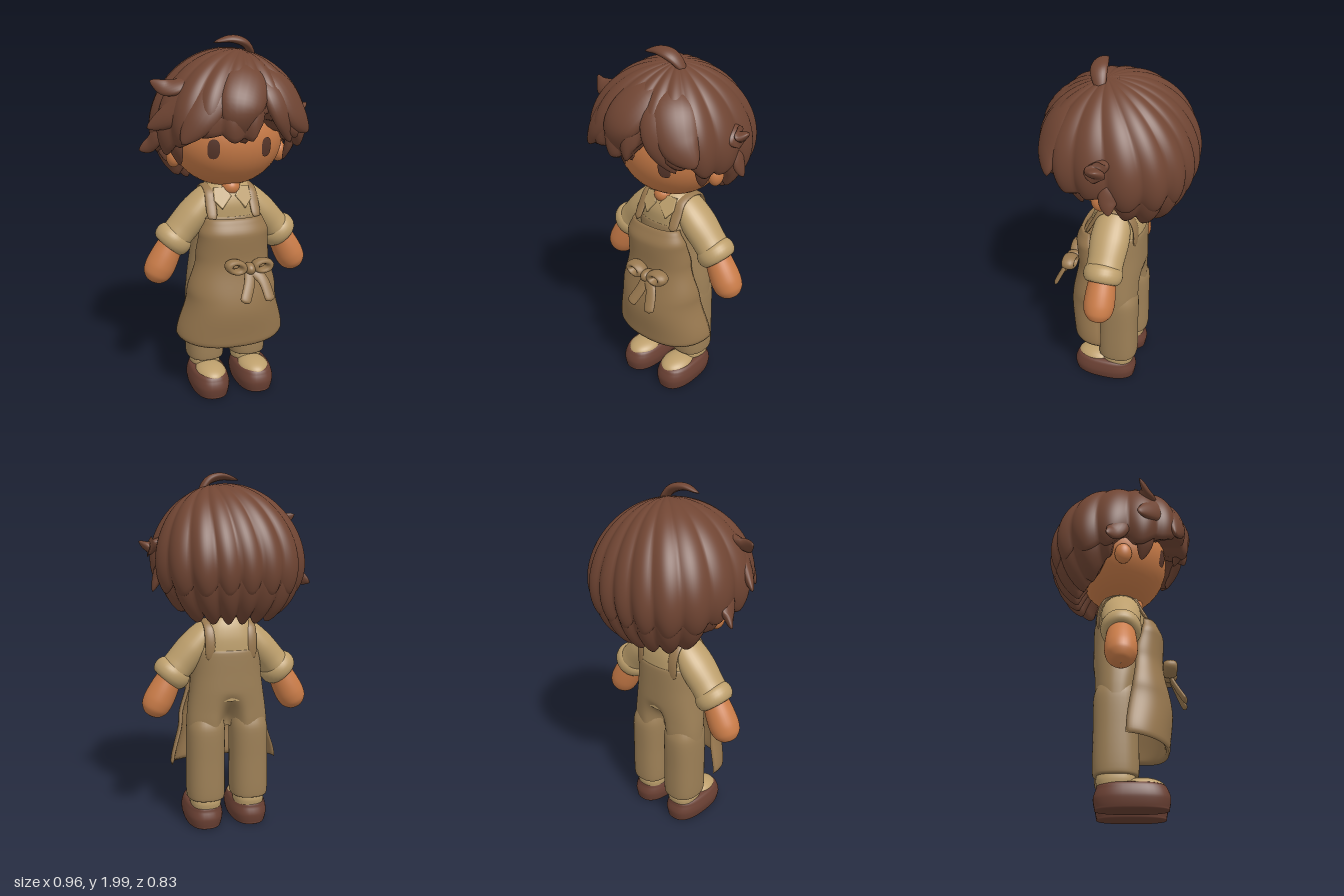
import * as THREE from 'three';
import { mergeVertices } from 'three/addons/utils/BufferGeometryUtils.js';

const mat = (name, color) => Object.assign(new THREE.MeshStandardMaterial({ color }), { name });
const V = (x, y, z) => new THREE.Vector3(x, y, z);
const spow = (c, e) => Math.sign(c) * Math.pow(Math.abs(c), e);
const TAU = Math.PI * 2;

// Smooth surface from fn(u, v) -> Vector3; seams are welded and faces turned outward.
function grid(fn, nu, nv) {
  const pos = [], idx = [];
  for (let j = 0; j <= nv; j++)
    for (let i = 0; i <= nu; i++) pos.push(...fn(i / nu, j / nv).toArray());
  for (let j = 0; j < nv; j++)
    for (let i = 0; i < nu; i++) {
      const a = j * (nu + 1) + i, b = a + 1, c = a + nu + 1, d = c + 1;
      idx.push(a, b, d, a, d, c);
    }
  const p = (i) => V(pos[3 * i], pos[3 * i + 1], pos[3 * i + 2]);
  let vol = 0;
  for (let k = 0; k < idx.length; k += 3) vol += p(idx[k]).dot(p(idx[k + 1]).cross(p(idx[k + 2])));
  if (vol < 0) idx.reverse();
  let g = new THREE.BufferGeometry();
  g.setAttribute('position', new THREE.Float32BufferAttribute(pos, 3));
  g.setIndex(idx);
  g = mergeVertices(g, 1e-4);
  g.computeVertexNormals();
  return g;
}

// Rounded rings stacked upward; rows are [y, rx, rz, cx, cz].
function loft(rows, n = 2.4, nu = 36) {
  const curve = (f) => new THREE.CatmullRomCurve3(rows.map(f), false, 'catmullrom', 0.4);
  const size = curve((r) => V(r[0], r[1], r[2])), mid = curve((r) => V(r[3] || 0, r[4] || 0, 0));
  return grid((u, v) => {
    const s = size.getPoint(v), m = mid.getPoint(v), a = u * TAU;
    return V(m.x + s.y * spow(Math.cos(a), 2 / n), s.x, m.y + s.z * spow(Math.sin(a), 2 / n));
  }, nu, (rows.length - 1) * 5);
}

// Flat oval section swept along a path, its flat side facing away from a centre.
const taper = (s) => Math.pow(Math.max(0, Math.sin(Math.PI * Math.pow(s, 0.8))), 0.65);
const even = (s) => Math.sqrt(Math.max(0, 1 - Math.pow(Math.abs(2 * s - 1), 16)));
function sweep(points, w, t, centre, profile) {
  const curve = new THREE.CatmullRomCurve3(points.map((p) => V(...p)));
  return grid((u, v) => {
    const p = curve.getPoint(v), tan = curve.getTangent(v);
    const out = p.clone().sub(centre);
    out.addScaledVector(tan, -out.dot(tan)).normalize();
    const side = tan.clone().cross(out), r = profile(v), a = u * TAU;
    return p.addScaledVector(side, Math.cos(a) * w * r).addScaledVector(out, Math.sin(a) * t * r);
  }, 20, 28);
}

// Eased lookup in a list of [key, value] pairs with rising keys.
function look(table, k) {
  let i = 0;
  while (i < table.length - 2 && k > table[i + 1][0]) i++;
  const [a, va] = table[i], [b, vb] = table[i + 1];
  const s = Math.min(1, Math.max(0, (k - a) / (b - a)));
  return va + (vb - va) * s * s * (3 - 2 * s);
}

const HAIR = V(0, 1.52, 0);
// Hair shell from an off-centre crown to an edge given by azimuth (0 = front, + = left), folded in to
// the head. It is squarish from above and the rear hangs lower than the front.
function hairShell(edge, scale, ridge) {
  return grid((u, v) => {
    const th = (u * 2 - 1) * Math.PI, deg = th * 180 / Math.PI;
    const t = Math.min(1, v / 0.88), fold = Math.max(0, (v - 0.88) / 0.12);
    const back = (1 - Math.cos(th)) / 2;
    const lump = Math.abs(Math.sin(9 * (th - 0.28) + 0.9 * Math.sin(2 * th) + 0.7 * (1 - t)));
    const max = look(edge, deg) + (lump - 0.6) * (3 + 5 * back);
    const phi = (max * t - 6 * fold) * Math.PI / 180;
    const sp = Math.sin(phi), cp = Math.cos(phi), crown = Math.max(0, cp) ** 2;
    let r = scale * (1 + ridge * (lump - 0.6) * t) * (1 - 0.07 * Math.pow(t, 8));
    r *= 1 + 0.07 * (Math.sin(2 * th) * sp) ** 2;
    r += (0.6 - r) * fold;
    const d = V(Math.sin(th) * sp + 0.17 * crown, cp, Math.cos(th) * sp + 0.12 * crown).normalize();
    return V(d.x * 0.415 * r, 1.52 + d.y * 0.41 * r - 0.052 * back * (cp < 0 ? 1 : sp * sp), d.z * 0.41 * r);
  }, 216, 44);
}

export function createModel() {
  const model = new THREE.Group();
  model.name = 'figure';
  const skin = mat('skin', 0xca7c48), hair = mat('hair brown', 0x704533), shoe = mat('shoe brown', 0x6a4033);
  const shirt = mat('shirt cream', 0xbd9f6c), apron = mat('apron tan', 0x98784f);
  const trousers = mat('trouser tan', 0x9c7f56), eyeMat = mat('eye brown', 0x5a382c);
  const add = (name, geo, m, parent = model) => {
    const mesh = new THREE.Mesh(geo, m);
    mesh.name = name;
    parent.add(mesh);
    return mesh;
  };
  const ball = (name, m, [x, y, z], [rx, ry, rz], parent) => {
    const b = add(name, new THREE.SphereGeometry(1, 40, 28), m, parent);
    b.position.set(x, y, z);
    b.scale.set(rx, ry, rz);
  };

  // Head, neck and eyes
  ball('head', skin, [0, 1.46, 0.01], [0.31, 0.27, 0.262]);
  ball('neck', skin, [0, 1.19, 0.07], [0.055, 0.052, 0.065]);
  for (const s of [-1, 1]) {
    ball('ear', skin, [s * 0.302, 1.365, 0.02], [0.04, 0.06, 0.047]);
    add('eye', grid((u, v) => {
      const x = s * 0.144 + 0.03 * v * spow(Math.cos(u * TAU), 0.8);
      const y = 1.426 + 0.052 * v * spow(Math.sin(u * TAU), 0.8);
      return V(x, y, 0.015 + 0.262 * Math.sqrt(1 - (x / 0.31) ** 2 - ((y - 1.46) / 0.27) ** 2));
    }, 28, 4), eyeMat);
  }

  // Hair: upper layer with the fringe, lower layer at the nape
  add('upperHair', hairShell([[-180, 104], [-125, 106], [-105, 108], [-88, 100], [-75, 106], [-60, 102], [-45, 96],
    [-28, 91], [-10, 96], [2, 96], [10, 86], [16, 76], [23, 82], [35, 92], [50, 97], [65, 103], [75, 106],
    [88, 100], [105, 108], [125, 106], [180, 104]], 1, 0.06), hair);
  add('napeHair', hairShell([[-180, 136], [-130, 134], [-110, 126], [-100, 116], [-88, 70], [88, 70], [100, 116],
    [110, 126], [130, 134], [180, 136]], 0.945, 0.07), hair);
  const locks = [
    [0.045, [0.14, 1.87, 0.06], [0.075, 1.95, 0.09], [0, 1.972, 0.1], [-0.1, 1.955, 0.1]],
    [0.125, [0.08, 1.85, 0.12], [0.02, 1.76, 0.27], [-0.04, 1.62, 0.365], [0, 1.46, 0.32]],
    [0.11, [0.04, 1.85, 0.12], [-0.13, 1.74, 0.25], [-0.23, 1.6, 0.31], [-0.33, 1.47, 0.31]],
    [0.09, [0, 1.84, 0.1], [-0.22, 1.71, 0.22], [-0.34, 1.61, 0.18], [-0.46, 1.53, 0.1]],
    [0.055, [-0.08, 1.82, 0.14], [-0.27, 1.75, 0.16], [-0.36, 1.735, 0.15], [-0.44, 1.77, 0.11]],
    [0.06, [-0.29, 1.62, 0], [-0.37, 1.5, 0], [-0.41, 1.43, -0.03], [-0.47, 1.39, -0.07]],
    [0.12, [0.1, 1.85, 0.1], [0.2, 1.74, 0.23], [0.28, 1.6, 0.28], [0.37, 1.5, 0.27]],
    [0.085, [0.1, 1.83, 0.15], [0.15, 1.72, 0.29], [0.19, 1.6, 0.335], [0.26, 1.45, 0.29]],
    [0.07, [0.26, 1.66, 0.02], [0.36, 1.61, 0.01], [0.42, 1.595, 0], [0.48, 1.625, 0]],
    [0.055, [0.25, 1.6, -0.06], [0.36, 1.5, -0.06], [0.395, 1.42, -0.05], [0.42, 1.36, -0.06]],
  ];
  for (const s of [-1, 1]) locks.push([0.055, [s * 0.31, 1.56, 0.12], [s * 0.32, 1.45, 0.14], [s * 0.29, 1.33, 0.12]]);
  for (const [w, ...pts] of locks) add('hairLock', sweep(pts, w, w * 0.5, HAIR, taper), hair);

  // Shirt body and collar
  add('shirtBody', loft([[0.75, 0.19, 0.135], [1, 0.188, 0.14], [1.1, 0.175, 0.14, 0, 0.003],
    [1.17, 0.145, 0.12], [1.22, 0.085, 0.08, 0, -0.01], [1.235, 0.001, 0.001, 0, -0.01]]), shirt);
  const band = add('neckBand', new THREE.TorusGeometry(0.075, 0.02, 12, 36), shirt);
  band.rotation.x = Math.PI / 2;
  band.position.set(0, 1.203, 0.005);
  for (const s of [-1, 1]) {
    const wing = new THREE.Shape([[0.015, 0.06], [0.065, 0], [0.1, 0.045], [0.095, 0.11], [0.045, 0.11]]
      .map(([x, y]) => new THREE.Vector2(x * s, y)));
    const c = add('collarWing', new THREE.ExtrudeGeometry(wing,
      { depth: 0.012, bevelSize: 0.006, bevelThickness: 0.006, bevelSegments: 3 }), shirt);
    c.position.set(0, 1.09, 0.147);
    c.rotation.set(-0.45, s * 0.2, 0);
  }

  // Arms: sleeve, rolled cuff and mitten hand along one slanted axis
  for (const s of [-1, 1]) {
    const arm = new THREE.Group();
    arm.name = s > 0 ? 'leftArm' : 'rightArm';
    arm.position.set(s * 0.31, 0.9, 0.008);
    arm.rotation.z = s * 0.707;
    model.add(arm);
    add('sleeve', loft([[-0.02, 0.001, 0.001], [-0.015, 0.08, 0.09], [0.08, 0.088, 0.1], [0.18, 0.088, 0.108],
      [0.27, 0.076, 0.1], [0.34, 0.054, 0.075], [0.375, 0.001, 0.001]], 2), shirt, arm);
    const cuff = add('cuff', new THREE.TorusGeometry(0.074, 0.034, 16, 40), shirt, arm);
    cuff.rotation.x = Math.PI / 2;
    cuff.scale.z = 1.5;
    const hand = add('hand', loft([[-0.272, 0.001, 0.001], [-0.258, 0.045, 0.045], [-0.222, 0.075, 0.075],
      [-0.17, 0.084, 0.085], [-0.1, 0.08, 0.082], [0, 0.066, 0.07]], 2), skin, arm);
    hand.rotation.z = -s * 0.23;
  }

  // Trousers: seat with high back, pinched between the legs towards its lower end
  const seat = loft([[0.58, 0.233, 0.12, 0, -0.018], [0.64, 0.23, 0.126, 0, -0.015], [0.7, 0.224, 0.132, 0, -0.01],
    [0.8, 0.21, 0.142, 0, -0.004], [0.9, 0.198, 0.146], [1.02, 0.19, 0.145], [1.04, 0.178, 0.132]], 2.4, 96);
  const sp = seat.attributes.position;
  for (let i = 0; i < sp.count; i++) {
    const pinch = THREE.MathUtils.smoothstep(0.8 - sp.getY(i), 0, 0.2) * Math.exp(-((sp.getX(i) / 0.05) ** 2));
    sp.setZ(i, -0.015 + (sp.getZ(i) + 0.015) * (1 - pinch));
  }
  seat.computeVertexNormals();
  add('trouserSeat', seat, trousers);

  // Legs, shoulder straps and shoes
  for (const s of [-1, 1]) {
    const x = s * 0.128;
    add('trouserLeg', loft([[0.168, 0.001, 0.001, x, -0.02], [0.17, 0.09, 0.1, x, -0.02], [0.195, 0.108, 0.118, x, -0.02],
      [0.4, 0.108, 0.118, x, -0.02], [0.58, 0.107, 0.12, x * 0.98, -0.018], [0.66, 0.09, 0.1, x * 0.94, -0.012]]), trousers);
    add('strap', sweep([[0.125, 1.02, 0.165], [0.124, 1.1, 0.122], [0.12, 1.168, 0.08], [0.118, 1.192, 0],
      [0.118, 1.168, -0.08], [0.118, 1.1, -0.114], [0.118, 0.97, -0.117]].map(([a, b, c]) => [a * s, b, c]),
      0.029, 0.01, V(0.1 * s, 1.06, 0), even), apron);
    const f = s * 0.133;
    add('shoe', loft([[0, 0.001, 0.001, f, 0.06], [0.001, 0.088, 0.17, f, 0.06], [0.015, 0.103, 0.185, f, 0.06],
      [0.06, 0.111, 0.192, f, 0.06], [0.1, 0.104, 0.18, f, 0.06], [0.13, 0.085, 0.155, f, 0.055],
      [0.14, 0.001, 0.001, f, 0.05]], 2.5), shoe);
    ball('shoeTongue', shirt, [s * 0.13, 0.112, 0.11], [0.088, 0.054, 0.12]);
    add('ankle', loft([[0.12, 0.085, 0.095, x, -0.02], [0.15, 0.088, 0.1, x, -0.02], [0.19, 0.085, 0.095, x, -0.02]]), shirt);
  }

  // Apron: curved panel with thickness, widening to the hem
  const halfWidth = [[0, 0.166], [0.13, 0.2], [0.32, 0.212], [0.62, 0.26], [1, 0.317]];
  const frontZ = [[0, 0.215], [0.13, 0.245], [0.32, 0.238], [0.72, 0.282], [1, 0.264]];
  const backZ = [[0, 0.13], [0.32, 0.085], [1, 0.03]];
  add('apronPanel', grid((u, w) => {
    const v = w < 0.5 ? 2 * w : 2 - 2 * w, k = 2 * u - 1, a = k * Math.PI / 2;
    const end = Math.sqrt(Math.max(0, (1 - Math.abs(k) ** 16) * (1 - Math.abs(2 * v - 1) ** 30)));
    const off = (w < 0.5 ? 0 : -0.026) * end - (1 - end) * 0.008;
    const zb = look(backZ, v);
    return V((look(halfWidth, v) + off) * spow(Math.sin(a), 0.85),
      1.04 - 0.692 * v - 0.035 * v * Math.cos(a),
      zb + (look(frontZ, v) - zb + off) * spow(Math.max(0, Math.cos(a)), 0.85));
  }, 56, 100), apron);

  // Bow: two loops, a knot and two tails
  const bow = new THREE.Group();
  bow.name = 'bow';
  model.add(bow);
  for (const [x, y, tilt] of [[-0.032, 0.79, -0.25], [0.118, 0.786, 0.05]]) {
    const loop = add('bowLoop', new THREE.TorusGeometry(0.036, 0.02, 12, 32), apron, bow);
    loop.position.set(x, y, 0.275);
    loop.scale.set(1.15, 0.75, 1.9);
    loop.rotation.z = tilt;
  }
  ball('bowKnot', apron, [0.045, 0.775, 0.275], [0.032, 0.034, 0.045], bow);
  for (const pts of [[[0.045, 0.77, 0.28], [0.03, 0.7, 0.315], [-0.01, 0.61, 0.36]],
    [[0.05, 0.77, 0.28], [0.105, 0.72, 0.315], [0.135, 0.61, 0.37]]])
    add('bowTail', sweep(pts, 0.031, 0.013, V(0.05, 0.62, 0), even), apron, bow);
  return model;
}
